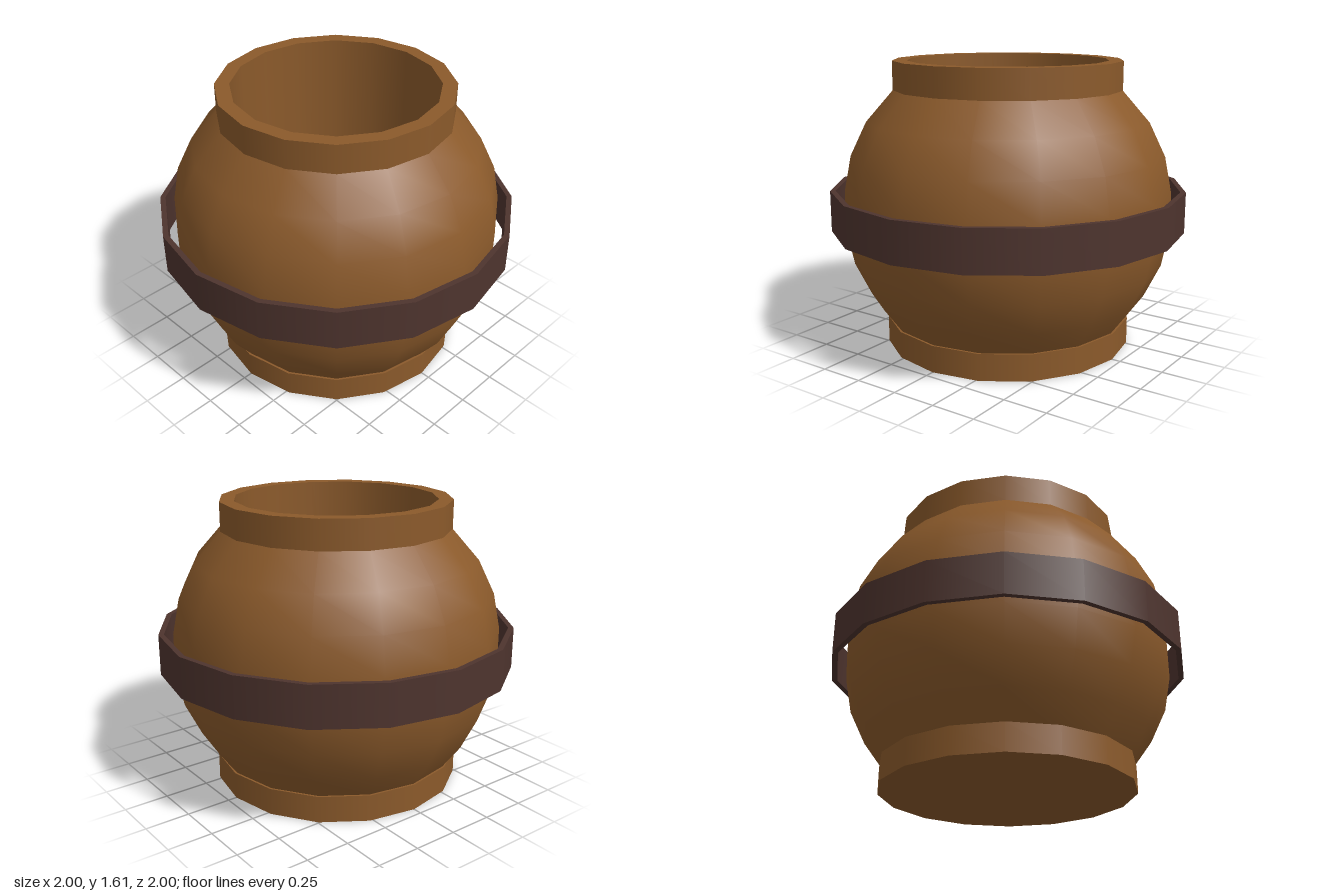
import * as THREE from 'three';
import { mergeGeometries } from 'three/addons/utils/BufferGeometryUtils.js';

const SIDES = 16;

// Smooth surface of revolution through [radius, height] points
const turned = (points) =>
  new THREE.LatheGeometry(points.map(([r, y]) => new THREE.Vector2(r, y)), SIDES);

// Surface of revolution with a sharp edge at every profile point
const sharpTurned = (points) =>
  mergeGeometries(points.slice(1).map((p, i) => turned([points[i], p])));

export function createModel() {
  const clay = new THREE.MeshStandardMaterial({ color: 0x8b5a2b });
  clay.name = 'brown clay';
  const leather = new THREE.MeshStandardMaterial({ color: 0x4e342e });
  leather.name = 'dark brown band';

  const model = new THREE.Group();
  model.name = 'pot';
  const add = (name, geometry, material) => {
    const mesh = new THREE.Mesh(geometry, material);
    mesh.name = name;
    model.add(mesh);
  };

  // Foot: closed underneath, with a narrow ledge under the belly
  add('foot', sharpTurned([[0, 0], [0.7, 0], [0.7, 0.15], [0.6, 0.15]]), clay);

  // Belly: rounded wall between foot and neck
  add('belly', turned([
    [0.67, 0.125], [0.79, 0.29], [0.88, 0.475], [0.92, 0.675],
    [0.92, 0.895], [0.88, 1.095], [0.79, 1.28], [0.64, 1.45],
  ]), clay);

  // Neck: outer wall, flat rim, then the straight inside wall and its floor
  add('neck', sharpTurned([[0.64, 1.45], [0.64, 1.61], [0.56, 1.61]]), clay);
  add('inside', sharpTurned([[0.56, 1.61], [0.56, 0.15], [0, 0.15]]), clay);

  // Band: loose hoop standing clear of the belly
  add('band', sharpTurned([
    [0.97, 0.67], [1, 0.67], [1, 0.9], [0.97, 0.9], [0.97, 0.67],
  ]), leather);

  return model;
}
